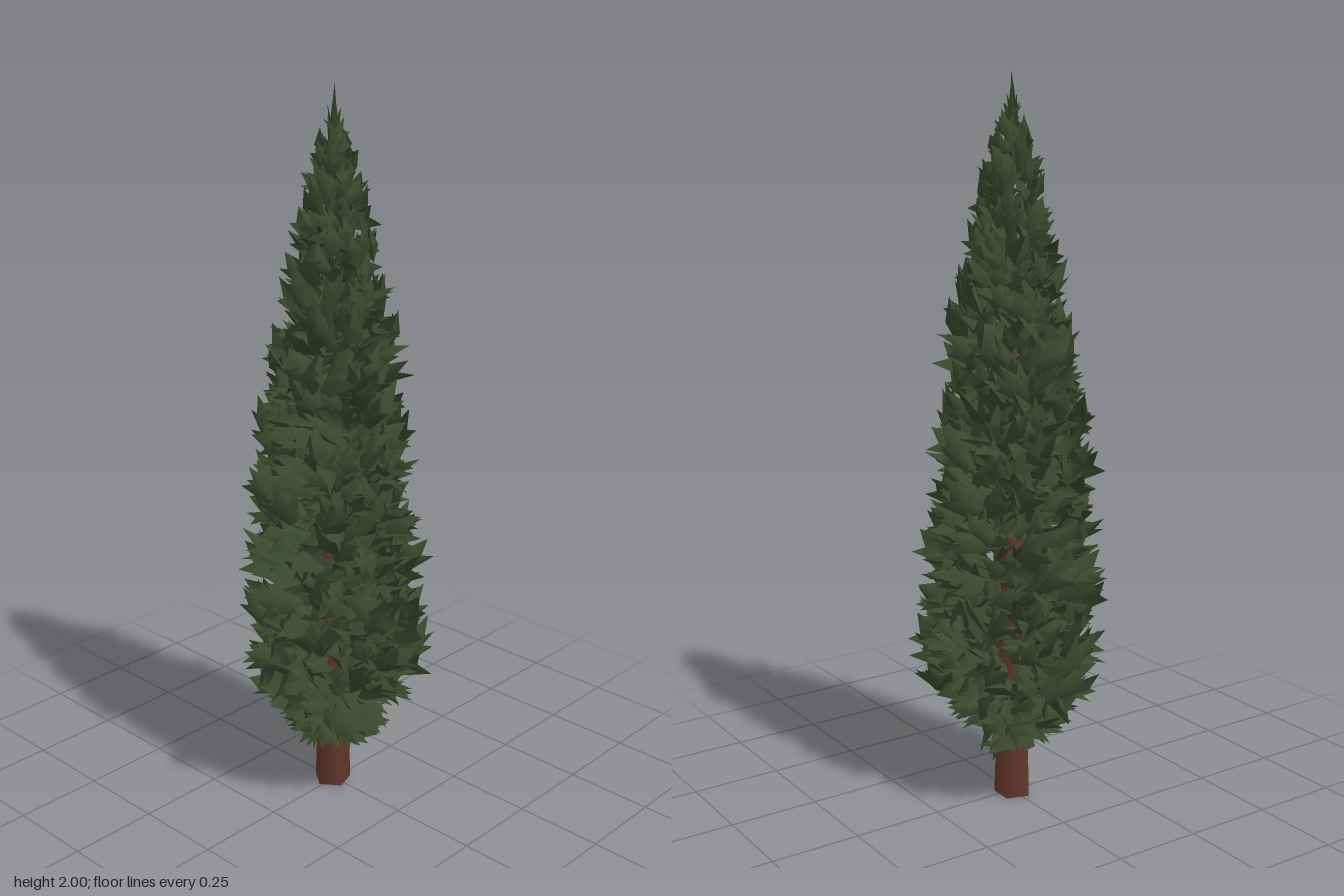
import * as THREE from 'three';
import { mergeGeometries } from 'three/addons/utils/BufferGeometryUtils.js';

// Seeded random numbers, so the tree is always the same
let seed = 7;
const rand = (a = 0, b = 1) => {
  seed = (seed * 16807) % 2147483647;
  return a + (b - a) * (seed / 2147483647);
};

// Crown outline: [height, radius reached by the sprig tips]
const outline = [[0.13, 0.08], [0.2, 0.16], [0.3, 0.22], [0.45, 0.255], [0.75, 0.25],
  [1.05, 0.22], [1.3, 0.185], [1.5, 0.145], [1.7, 0.105], [1.85, 0.06], [2, 0.01]];
function crownRadius(y) {
  const i = Math.max(1, outline.findIndex(p => p[0] >= y));
  const [[y0, r0], [y1, r1]] = [outline[i - 1], outline[i]];
  return r0 + (r1 - r0) * (y - y0) / (y1 - y0);
}

// A flat sprig with one long and two short spikes: [along, across], hub first
const sprigPoints = [[0.42, 0], [0, -0.3], [0, 0.3], [0.74, 1.1], [0.6, 0.48],
  [1, 0], [0.6, -0.48], [0.74, -1.1]];
const sprigFaces = [1, 2, 3, 4, 5, 6, 7].flatMap(i => [0, i, i % 7 + 1]);

// Places one sprig with its long spike ending at tip and growing along dir
function sprig(tip, dir, facing, length, halfWidth) {
  const side = new THREE.Vector3().crossVectors(dir, facing).normalize();
  const up = new THREE.Vector3().crossVectors(side, dir).normalize();
  const points = sprigPoints.flatMap(([t, s], i) => {
    const bend = i === 0 ? 0.5 : -0.25 * Math.abs(s);
    return tip.clone()
      .addScaledVector(dir, (t - 1) * length)
      .addScaledVector(side, s * halfWidth * (i > 2 ? rand(0.7, 1.15) : 1))
      .addScaledVector(up, bend * halfWidth).toArray();
  });
  const g = new THREE.BufferGeometry();
  g.setAttribute('position', new THREE.Float32BufferAttribute(points, 3));
  g.setIndex(sprigFaces);
  g.computeVertexNormals();
  return g;
}

function foliageGeometry() {
  const sprigs = [];
  let angle = 0;
  // Sprigs spiral up the crown, evenly spread over its surface
  for (let y = 0.14; y < 1.92; y += 0.00042 / (crownRadius(y) + 0.015)) {
    angle += 2.39996 + rand(-0.4, 0.4);
    const r = crownRadius(y) * rand(0.66, 1.07);
    const out = new THREE.Vector3(Math.sin(angle), 0, Math.cos(angle));
    const around = new THREE.Vector3(out.z, 0, -out.x);
    // Low sprigs droop outward, high sprigs stand upright
    const rise = THREE.MathUtils.lerp(-0.6, 0.6, Math.min(1, (y - 0.14) / 0.3))
      + Math.max(0, y - 0.9) * 0.6 + rand(-0.5, 0.5);
    const dir = out.clone().multiplyScalar(Math.cos(rise))
      .addScaledVector(around, rand(-0.6, 0.6));
    dir.y += Math.sin(rise);
    dir.normalize();
    const facing = out.clone().multiplyScalar(0.7).addScaledVector(around, rand(-0.8, 0.8));
    facing.y = rand(0.3, 1.4);
    const size = Math.min(1, 0.55 + (2 - y) * 0.6);
    sprigs.push(sprig(out.multiplyScalar(r).setY(y), dir, facing,
      size * rand(0.11, 0.18), size * rand(0.038, 0.06)));
  }
  // Upright sprigs closing the peak
  for (let i = 0; i < 4; i++) {
    const a = i * Math.PI / 2;
    const out = new THREE.Vector3(Math.sin(a), 0, Math.cos(a));
    const dir = out.clone().multiplyScalar(-0.08).setY(1).normalize();
    sprigs.push(sprig(new THREE.Vector3(0, 2 - i * 0.02, 0), dir, out, 0.22, 0.024));
  }
  return mergeGeometries(sprigs);
}

export function createModel() {
  seed = 7;
  const bark = new THREE.MeshStandardMaterial({ color: 0x63382a });
  bark.name = 'bark';
  const green = new THREE.MeshStandardMaterial({ color: 0x3b482c, side: THREE.DoubleSide });
  green.name = 'leafGreen';

  const tree = new THREE.Group();
  tree.name = 'cypressTree';

  // Tapered trunk running up inside the crown
  const trunk = new THREE.Mesh(new THREE.CylinderGeometry(0.012, 0.054, 1.3, 5), bark);
  trunk.name = 'trunk';
  trunk.position.set(-0.008, 0.65, 0);
  tree.add(trunk);

  const foliage = new THREE.Mesh(foliageGeometry(), green);
  foliage.name = 'foliage';
  tree.add(foliage);
  return tree;
}
